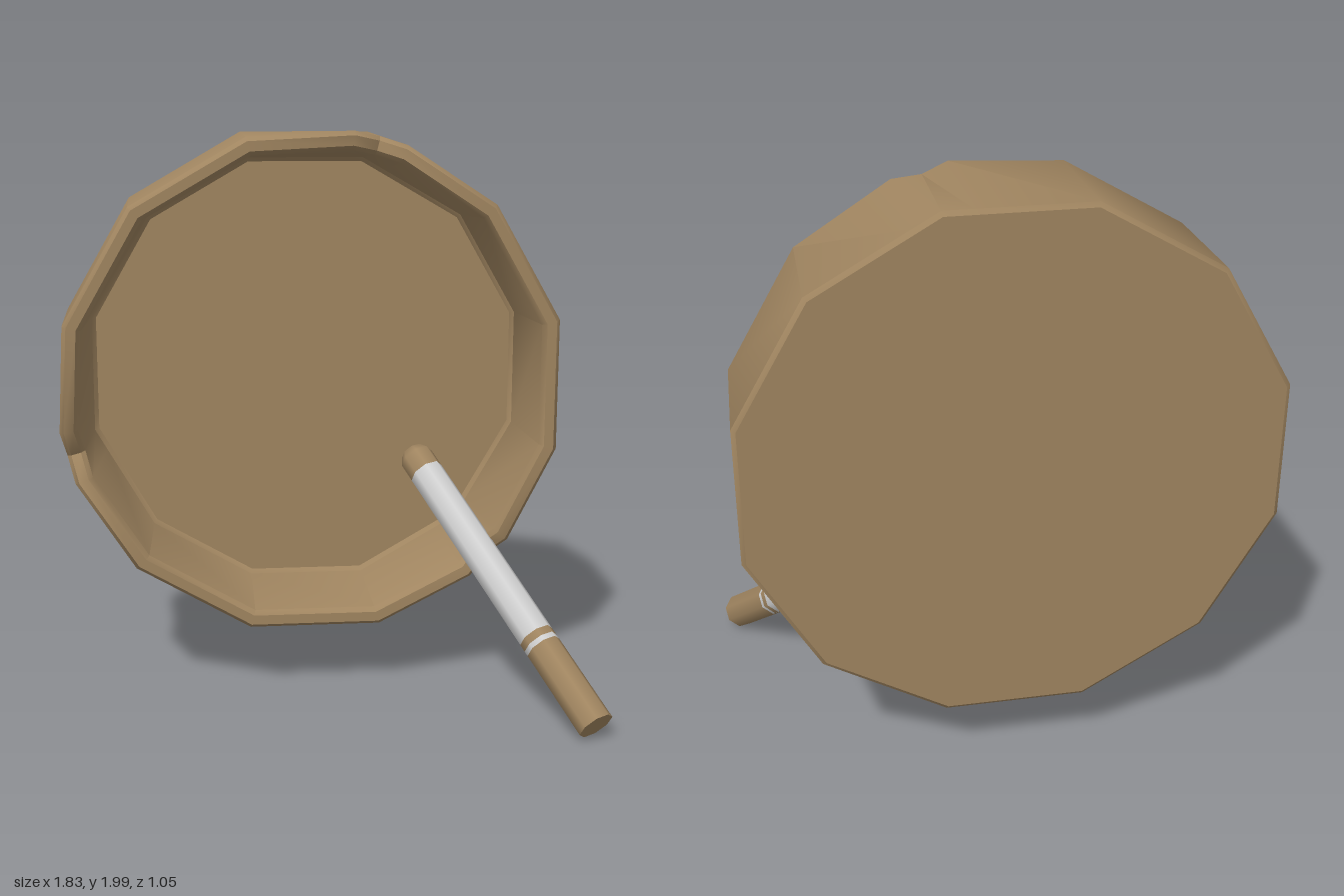
import * as THREE from 'three';
import { toCreasedNormals } from 'three/addons/utils/BufferGeometryUtils.js';

const DEG = Math.PI / 180;

// Twelve-sided tray swept from a radius/depth profile, with three notches in the rim
function trayGeometry() {
  // [radius, z, share of the notch depth]
  const profile = [
    [0, -0.525, 0], [0.89, -0.525, 0], [0.905, -0.513, 0],
    [0.895, -0.07, 1], [0.88, -0.05, 1], [0.845, -0.05, 1], [0.83, -0.07, 1],
    [0.812, -0.445, 0], [0.797, -0.46, 0], [0, -0.46, 0],
  ];
  const columns = [];
  for (let k = 0; k < 12; k++) {
    const angle = 15 + 30 * k;
    const notched = k % 4 === 2;
    if (notched) columns.push({ angle: angle - 6, side: true });
    columns.push({ angle, notched });
    if (notched) columns.push({ angle: angle + 6, side: true });
  }
  // Beside a notch the rim follows the circle, while the body keeps to the straight side
  const chord = Math.cos(15 * DEG) / Math.cos(9 * DEG);
  const positions = [], indices = [], n = columns.length;
  for (const [radius, z, rim] of profile) {
    for (const { angle, notched, side } of columns) {
      const r = side && !rim ? radius * chord : radius;
      positions.push(r * Math.cos(angle * DEG), r * Math.sin(angle * DEG), z - (notched ? 0.06 * rim : 0));
    }
  }
  for (let i = 0; i < profile.length - 1; i++) {
    for (let j = 0; j < n; j++) {
      const a = i * n + j, b = i * n + (j + 1) % n, c = b + n, d = a + n;
      if (profile[i][0] > 0) indices.push(a, b, d);
      if (profile[i + 1][0] > 0) indices.push(b, c, d);
    }
  }
  const geometry = new THREE.BufferGeometry();
  geometry.setAttribute('position', new THREE.Float32BufferAttribute(positions, 3));
  geometry.setIndex(indices);
  return toCreasedNormals(geometry, 36 * DEG);
}

export function createModel() {
  const tan = new THREE.MeshStandardMaterial({ color: 0xa08560 });
  tan.name = 'tan';
  const white = new THREE.MeshStandardMaterial({ color: 0xd0d0d0 });
  white.name = 'paper white';

  const model = new THREE.Group();
  model.name = 'ashtrayWithCigarette';

  const tray = new THREE.Mesh(trayGeometry(), tan);
  tray.name = 'tray';
  tray.position.set(-0.03, 1.11, 0);
  model.add(tray);

  // Cigarette resting in the lower notch, built along +y and then aimed
  const start = new THREE.Vector3(0.86, 0.055, 0.48);
  const end = new THREE.Vector3(0.37, 0.8, -0.4);
  const axis = end.clone().sub(start);
  const length = axis.length(), radius = 0.064;
  const cigarette = new THREE.Group();
  cigarette.name = 'cigarette';
  cigarette.position.copy(start);
  cigarette.quaternion.setFromUnitVectors(new THREE.Vector3(0, 1, 0), axis.normalize());
  model.add(cigarette);

  const sections = [
    ['filter', 0, 0.262, tan], ['filterStripe', 0.262, 0.277, white],
    ['filterBand', 0.277, 0.3, tan], ['paper', 0.3, 0.915, white],
  ];
  for (const [name, from, to, material] of sections) {
    const height = (to - from) * length;
    const part = new THREE.Mesh(new THREE.CylinderGeometry(radius, radius, height, 8), material);
    part.name = name;
    part.position.y = from * length + height / 2;
    cigarette.add(part);
  }

  // Rounded burnt tip
  const tipProfile = [[radius, 0.915], [radius, 0.975], [0.045, 1], [0, 1.01]]
    .map(([r, t]) => new THREE.Vector2(r, t * length));
  const tip = new THREE.Mesh(new THREE.LatheGeometry(tipProfile, 8), tan);
  tip.name = 'burntTip';
  cigarette.add(tip);

  return model;
}
